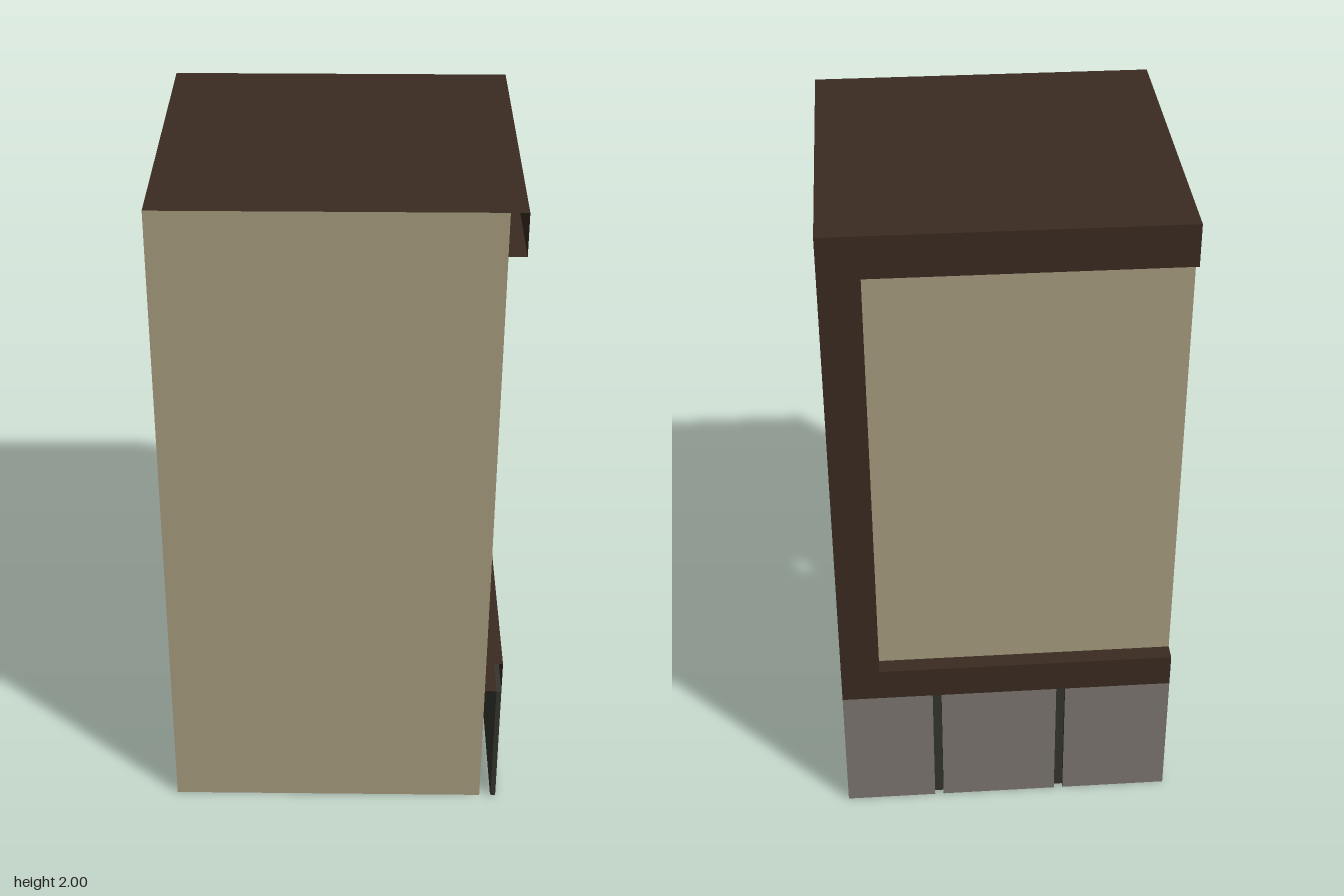
import * as THREE from 'three';

const flat = (name, color) => {
  const m = new THREE.MeshStandardMaterial({ color, side: THREE.DoubleSide });
  m.name = name;
  return m;
};

export function createModel() {
  const plaster = flat('plaster', 0xab9f82);
  const timber = flat('dark timber', 0x3a2b21);
  const stone = flat('grey stone', 0x7e7871);
  const joint = flat('dark joint', 0x36362f);

  const model = new THREE.Group();
  model.name = 'wallCornerBlock';

  const add = (parent, name, geometry, material, x, y, z) => {
    const mesh = new THREE.Mesh(geometry, material);
    mesh.name = name;
    mesh.position.set(x, y, z);
    parent.add(mesh);
    return mesh;
  };
  const sheet = (w, h) => new THREE.PlaneGeometry(w, h);
  const level = (w, d) => sheet(w, d).rotateX(-Math.PI / 2);

  const D = 0.05;                          // depth of the timber frame
  const Y0 = 0.42, Y1 = 0.525, Y2 = 1.875; // stone top, sill top, lintel bottom
  const POST = 0.115;                      // width of the corner post
  const T = 0.015;                         // thickness of the stones

  // Decorated face, outward +z; corner = side (+1 or -1) that carries the post
  function facade(name, corner, angle, joints) {
    const g = new THREE.Group();
    g.name = name;
    g.rotation.y = angle;
    model.add(g);
    const mid = -corner * POST / 2, w = 1 - POST;

    // Recessed panel
    add(g, 'panel', sheet(w, Y2 - Y1), plaster, mid, (Y1 + Y2) / 2, 0.5 - D);

    // C-shaped timber frame, open on the side away from the corner
    const inner = corner * (0.5 - POST), c = corner * 0.5;
    const outline = [[-c, Y0], [c, Y0], [c, 2], [-c, 2], [-c, Y2], [inner, Y2], [inner, Y1], [-c, Y1]]
      .map(([x, y]) => new THREE.Vector2(x, y));
    add(g, 'frame', new THREE.ShapeGeometry(new THREE.Shape(outline)), timber, 0, 0, 0.5);

    // Inward returns of the frame
    const zr = 0.5 - D / 2;
    add(g, 'sillTop', level(w, D), timber, mid, Y1, zr);
    add(g, 'lintelUnderside', level(w, D), timber, mid, Y2, zr);
    add(g, 'postReturn', sheet(D, Y2 - Y1).rotateY(Math.PI / 2), timber, inner, (Y1 + Y2) / 2, zr);
    add(g, 'sillUnderside', level(1, D), timber, 0, Y0, zr);

    // Stone base: three slabs with dark edges over a dark backing
    add(g, 'jointBacking', sheet(1 - T, Y0), joint, -corner * T / 2, Y0 / 2, 0.5 - T - 0.001);
    const gap = 0.0135;
    const edges = [-0.5, joints[0] - gap, joints[0] + gap, joints[1] - gap, joints[1] + gap, 0.5];
    for (let i = 0; i < 6; i += 2) {
      const a = edges[i], b = edges[i + 1];
      // The slab meeting the corner turns its end outward, so that end is stone
      const endR = corner > 0 && i === 4 ? stone : joint;
      const endL = corner < 0 && i === 0 ? stone : joint;
      add(g, 'baseStone', new THREE.BoxGeometry(b - a, Y0, T),
        [endR, endL, joint, joint, stone, joint], (a + b) / 2, Y0 / 2, 0.5 - T / 2);
    }
  }

  facade('rightFacade', 1, Math.PI / 2, [-0.203, 0.172]);
  facade('backFacade', -1, Math.PI, [-0.213, 0.165]);

  // Plain walls and roof sheet; the underside stays open
  add(model, 'frontWall', sheet(1 - D, 2), plaster, -D / 2, 1, 0.5);
  add(model, 'leftWall', sheet(1 - D, 2).rotateY(-Math.PI / 2), plaster, -0.5, 1, D / 2);
  add(model, 'topCover', level(1, 1), timber, 0, 2, 0);

  return model;
}
